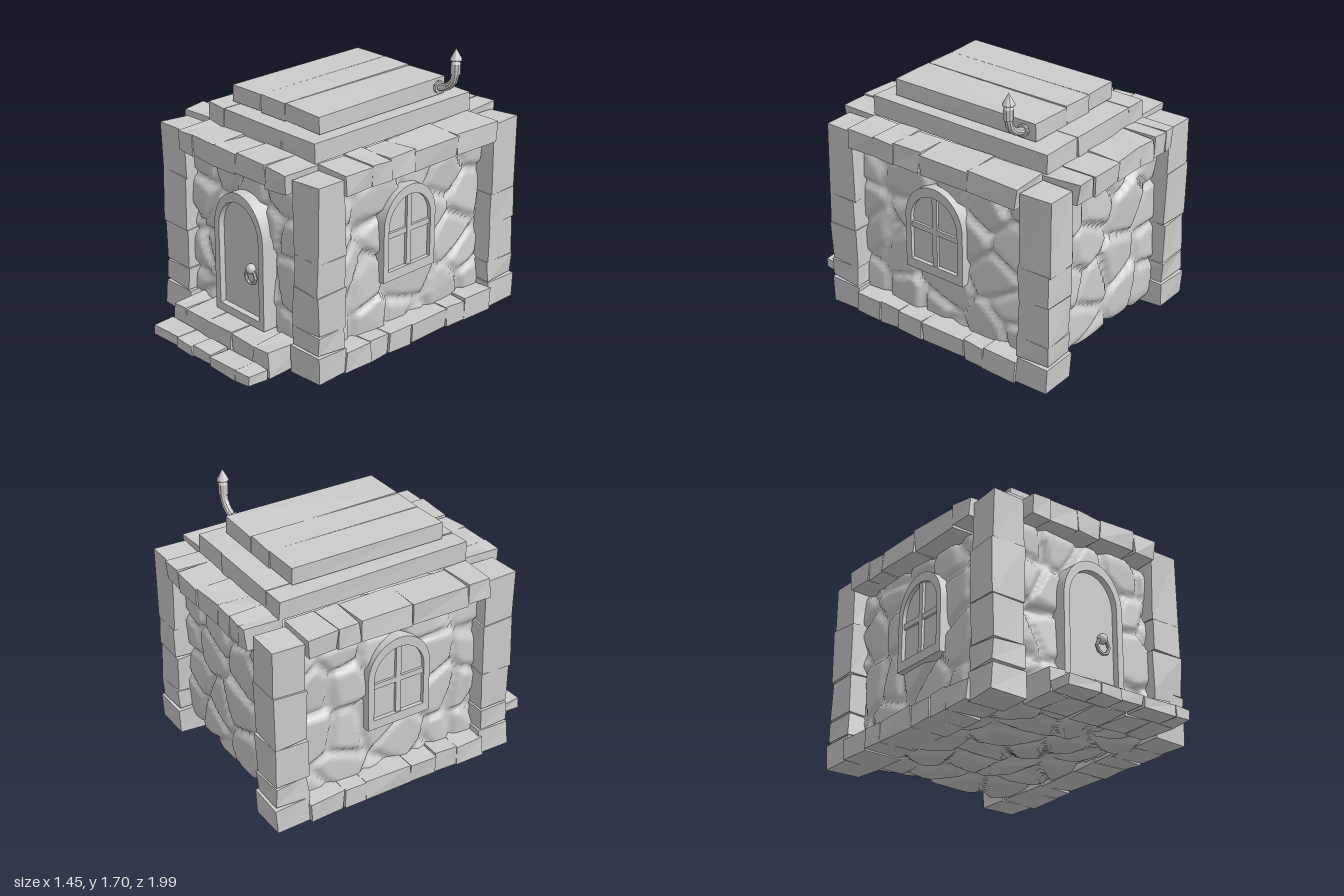
import * as THREE from 'three';
import { mergeVertices } from 'three/addons/utils/BufferGeometryUtils.js';

const flat = new THREE.MeshStandardMaterial({ color: 0xcccccc, flatShading: true });
const smooth = new THREE.MeshStandardMaterial({ color: 0xcccccc });

function makeRandom(seed) {
  return () => {
    seed = (seed * 16807) % 2147483647;
    return seed / 2147483647;
  };
}

function add(parent, name, geometry, material = flat, x = 0, y = 0, z = 0) {
  const mesh = new THREE.Mesh(geometry, material);
  mesh.name = name;
  mesh.position.set(x, y, z);
  parent.add(mesh);
  return mesh;
}

// Hewn block: a box whose eight corners are each nudged a little
function blockGeometry(min, max, rand, jitter) {
  const size = max.map((v, i) => v - min[i]);
  const g = new THREE.BoxGeometry(...size);
  g.translate(...min.map((v, i) => v + size[i] / 2));
  const nudges = Array.from({ length: 8 }, () => [0, 0, 0].map(() => (rand() - 0.5) * 2 * jitter));
  const p = g.attributes.position;
  for (let i = 0; i < p.count; i++) {
    const v = [p.getX(i), p.getY(i), p.getZ(i)];
    const corner = v.reduce((k, c, a) => k * 2 + (c > (min[a] + max[a]) / 2 ? 1 : 0), 0);
    p.setXYZ(i, ...v.map((c, a) => Math.max(0, c + nudges[corner][a])));
    p.setXYZ(i, ...v.map((c, a) => c + nudges[corner][a]));
  }
  g.computeVertexNormals();
  return g;
}

// Course of blocks along one axis (0 x, 1 y, 2 z), split at the given breaks
function course(parent, name, axis, breaks, min, max, rand, jitter = 0.009) {
  const group = new THREE.Group();
  group.name = name;
  for (let i = 0; i + 1 < breaks.length; i++) {
    const a = [...min], b = [...max];
    a[axis] = breaks[i] + 0.002;
    b[axis] = breaks[i + 1] - 0.002;
    add(group, name + 'Block', blockGeometry(a, b, rand, jitter));
  }
  parent.add(group);
}

// Rubble body: a rounded box pushed out into fitted stones with grooves between
function rubbleGeometry(half, rand) {
  const seeds = [];
  for (let axis = 0; axis < 3; axis++) {
    const u = (axis + 1) % 3, v = (axis + 2) % 3;
    const nu = Math.round(half[u] * 2 / 0.27), nv = Math.round(half[v] * 2 / 0.27);
    for (const side of [-1, 1]) for (let i = 0; i < nu; i++) for (let j = 0; j < nv; j++) {
      const c = [0, 0, 0];
      c[axis] = side * half[axis];
      c[u] = half[u] * ((i + 0.5 + (rand() - 0.5) * 0.8) / nu * 2 - 1);
      c[v] = half[v] * ((j + 0.5 + (rand() - 0.5) * 0.8) / nv * 2 - 1);
      const tilt = new THREE.Vector3(rand() - 0.5, rand() - 0.5, rand() - 0.5).multiplyScalar(0.22);
      seeds.push({ at: new THREE.Vector3(...c), tilt, rise: rand() * 0.015 });
    }
  }
  let g = new THREE.BoxGeometry(...half.map(h => h * 2), 56, 54, 68);
  g.deleteAttribute('uv');
  g.deleteAttribute('normal');
  g = mergeVertices(g, 1e-4);
  const round = 0.08;
  const inner = new THREE.Vector3(...half).subScalar(round);
  const p = g.attributes.position, pt = new THREE.Vector3(), core = new THREE.Vector3();
  for (let i = 0; i < p.count; i++) {
    pt.fromBufferAttribute(p, i);
    let d1 = 9, d2 = 9, near = null;
    for (const s of seeds) {
      const d = s.at.distanceTo(pt);
      if (d < d1) { d2 = d1; d1 = d; near = s; }
      else if (d < d2) d2 = d;
    }
    const swell = THREE.MathUtils.smoothstep(d2 - d1, 0, 0.07) * 0.03;
    const lean = near.tilt.dot(core.subVectors(pt, near.at));
    const push = THREE.MathUtils.clamp(swell + lean + near.rise, -0.005, 0.05);
    core.copy(pt).clamp(inner.clone().negate(), inner);
    pt.sub(core).normalize().multiplyScalar(round + push).add(core);
    p.setXYZ(i, pt.x, pt.y, pt.z);
  }
  g.computeVertexNormals();
  return g;
}

// Round-headed outline: half width w, from y0 to spring line and crown
function arch(w, y0, spring, top, PathType = THREE.Shape) {
  const s = new PathType();
  s.moveTo(-w, y0);
  s.lineTo(w, y0);
  s.lineTo(w, spring);
  s.absellipse(0, spring, w, top - spring, 0, Math.PI, false);
  s.lineTo(-w, y0);
  return s;
}

function archFrame(outer, inner, depth) {
  const shape = arch(...outer);
  shape.holes.push(arch(...inner, THREE.Path));
  return new THREE.ExtrudeGeometry(shape, { depth, bevelEnabled: false, curveSegments: 14 });
}

function archPanel(inner, depth) {
  return new THREE.ExtrudeGeometry(arch(...inner), { depth, bevelEnabled: false, curveSegments: 14 });
}

function makeDoor() {
  const door = new THREE.Group();
  door.name = 'door';
  const inner = [0.175, 0.05, 0.55, 0.75];
  add(door, 'doorFrame', archFrame([0.217, 0, 0.54, 0.81], inner, 0.12), flat, 0, 0, -0.12);
  add(door, 'doorPanel', archPanel(inner, 0.06), flat, 0, 0, -0.1);
  // Knocker: knob above a hanging ring
  add(door, 'knockerKnob', new THREE.SphereGeometry(0.032, 12, 8), smooth, 0.082, 0.355, -0.022);
  add(door, 'knockerRing', new THREE.TorusGeometry(0.045, 0.011, 6, 8), flat, 0.082, 0.305, -0.02);
  door.position.set(0.018, 0.17, 0.69);
  return door;
}

function makeWindow(side) {
  const win = new THREE.Group();
  win.name = side > 0 ? 'leftWindow' : 'rightWindow';
  const inner = [0.172, 0.06, 0.33, 0.51];
  add(win, 'windowFrame', archFrame([0.212, 0, 0.34, 0.57], inner, 0.09), flat, 0, 0, -0.09);
  add(win, 'windowPane', archPanel(inner, 0.05), flat, 0, 0, -0.075);
  add(win, 'mullion', new THREE.BoxGeometry(0.035, 0.45, 0.04), flat, 0, 0.285, -0.028);
  add(win, 'crossbar', new THREE.BoxGeometry(0.345, 0.035, 0.04), flat, 0, 0.285, -0.03);
  win.position.set(side * 0.645, 0.44, -0.09);
  win.rotation.y = side * Math.PI / 2;
  return win;
}

function makeChimney() {
  const pipe = new THREE.Group();
  pipe.name = 'stovePipe';
  const path = new THREE.CatmullRomCurve3([
    [0.38, 1.43], [0.44, 1.435], [0.5, 1.465], [0.535, 1.51], [0.543, 1.57]
  ].map(([x, y]) => new THREE.Vector3(x, y, 0)));
  add(pipe, 'pipeBend', new THREE.TubeGeometry(path, 7, 0.024, 10));
  const flange = add(pipe, 'pipeFlange', new THREE.CylinderGeometry(0.039, 0.039, 0.016, 10), flat, 0.414, 1.432, 0);
  flange.rotation.z = Math.PI / 2;
  // Collar, neck and pointed cap
  const profile = [[0, 1.54], [0.03, 1.545], [0.03, 1.61], [0.019, 1.63], [0.037, 1.632], [0.036, 1.64], [0, 1.705]];
  add(pipe, 'pipeCap', new THREE.LatheGeometry(profile.map(q => new THREE.Vector2(...q)), 10), flat, 0.543, 0, 0);
  pipe.position.z = -0.55;
  return pipe;
}

export function createModel() {
  const model = new THREE.Group();
  model.name = 'stoneHut';
  const rand = makeRandom(4711);

  add(model, 'rubbleWalls', rubbleGeometry([0.565, 0.55, 0.705], rand), smooth, 0, 0.605, -0.125);

  // Corner pillars
  const pillarBreaks = { 1: [0.18, 0.31, 0.56, 0.76, 1.22], '-1': [0.18, 0.32, 0.58, 0.92, 1.22] };
  for (const side of [1, -1]) for (const [z0, z1, end] of [[0.48, 0.68, 'front'], [-0.95, -0.74, 'back']]) {
    const x0 = side > 0 ? 0.485 : -0.69, x1 = side > 0 ? 0.695 : -0.475;
    course(model, end + 'Pillar', 1, pillarBreaks[side], [x0, 0, z0], [x1, 0, z1], rand);
    add(model, end + 'PillarFoot', blockGeometry([x0 - 0.01, 0.012, z0 - 0.005], [x1 + 0.01, 0.176, z1 + 0.005], rand, 0.008));
  }

  // Side footings and top courses
  for (const side of [1, -1]) {
    const x0 = side > 0 ? 0.48 : -0.715, x1 = side > 0 ? 0.715 : -0.47;
    const foot = [-0.74, -0.51, -0.36, -0.05, 0.14, 0.29, 0.48];
    const top = side > 0 ? [-0.74, -0.4, -0.05, 0.14, 0.29, 0.49] : [-0.74, -0.55, -0.4, -0.05, 0.33, 0.49];
    course(model, 'sideFooting', 2, foot, [x0, 0.012, 0], [x1, 0.142, 0], rand);
    course(model, 'sideTopCourse', 2, top, [x0, 1.122, 0], [x1, 1.25, 0], rand);
  }
  course(model, 'frontTopCourse', 0, [-0.46, -0.33, -0.13, 0.05, 0.31, 0.48], [0, 1.122, 0.48], [0, 1.25, 0.73], rand);
  course(model, 'backTopCourse', 0, [-0.46, -0.38, -0.27, -0.13, 0.1, 0.33, 0.48], [0, 1.122, -0.98], [0, 1.25, -0.74], rand);

  // Stepped roof slabs
  course(model, 'lowerRoofSlab', 0, [-0.46, -0.31, 0.19, 0.47], [0, 1.245, -0.765], [0, 1.365, 0.5], rand, 0.005);
  course(model, 'upperRoofSlab', 0, [-0.355, -0.11, 0.1, 0.395], [0, 1.372, -0.62], [0, 1.477, 0.395], rand, 0.005);

  // Doorstep
  course(model, 'upperStep', 0, [-0.43, -0.31, -0.11, 0.11, 0.31, 0.45], [0, 0.015, 0.6], [0, 0.165, 0.835], rand);
  course(model, 'lowerStep', 0, [-0.43, -0.2, -0.06, 0.1, 0.33, 0.45], [0, 0.008, 0.85], [0, 0.07, 0.992], rand, 0.007);

  model.add(makeDoor(), makeWindow(1), makeWindow(-1), makeChimney());
  return model;
}
